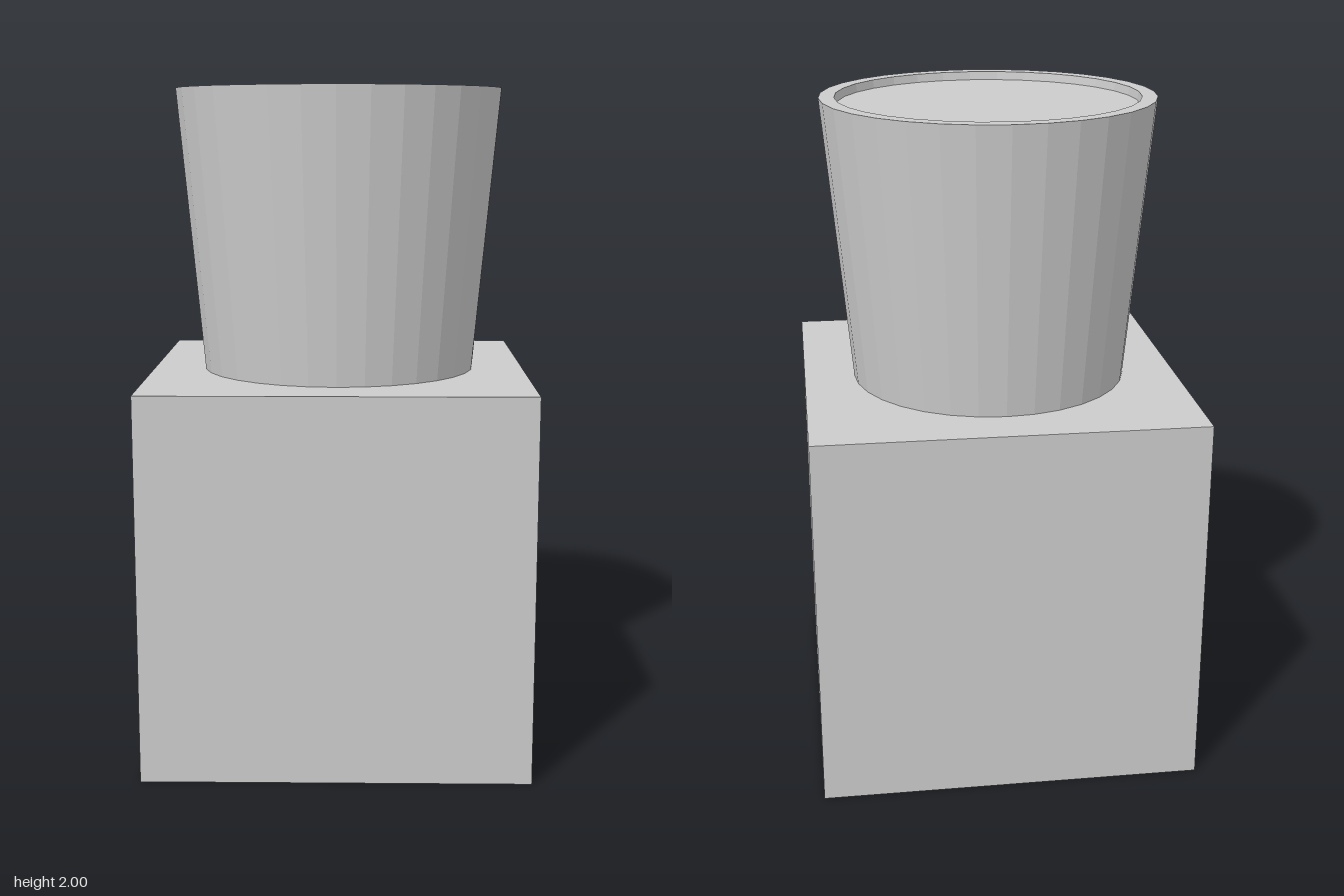
import * as THREE from 'three';

export function createModel() {
  const group = new THREE.Group();
  const material = new THREE.MeshStandardMaterial({ color: 0xcccccc, flatShading: true });
  const baseSize = 1.143, baseTop = 1.146;

  // Square base block
  const base = new THREE.Mesh(new THREE.BoxGeometry(baseSize, baseTop, baseSize), material);
  base.name = 'base';
  base.position.y = baseTop / 2;
  group.add(base);

  // Tapered pot: outer wall, flat rim, inner wall and shallow recessed top
  const profile = [
    [0, baseTop], [0.418, baseTop], [0.497, 2], [0.451, 2], [0.447, 1.975], [0, 1.975],
  ].map(([r, y]) => new THREE.Vector2(r, y));
  const pot = new THREE.Mesh(new THREE.LatheGeometry(profile, 32), material);
  pot.name = 'pot';
  group.add(pot);

  return group;
}
